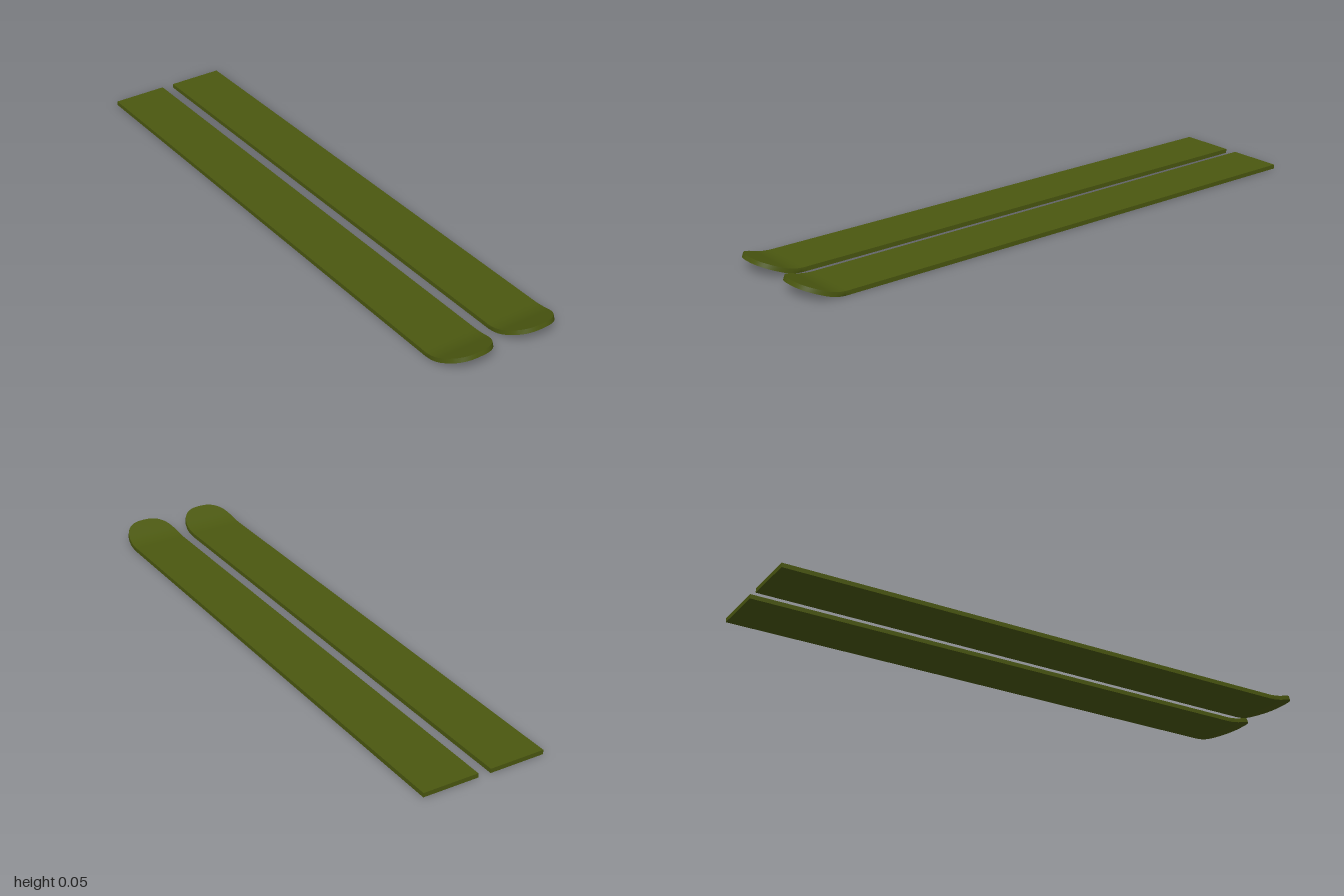
import * as THREE from 'three';
import { toCreasedNormals } from 'three/addons/utils/BufferGeometryUtils.js';

const HALF_W = 0.0975, THICK = 0.015, CENTRE_X = 0.12;
const TIP_START = 0.87, TIP_LEN = 0.13, ROUND = 2.6;
const BEND_START = 0.86, BEND_LEN = 0.07, SLOPE = 0.38;
const X_SEGS = 32, Z_SEGS = 20;

// Height and slope of the underside: flat, then a short curve, then a straight ramp
function underside(z) {
  const d = Math.max(0, z - BEND_START);
  if (d < BEND_LEN) return [SLOPE * d * d / (2 * BEND_LEN), SLOPE * d / BEND_LEN];
  return [SLOPE * (d - BEND_LEN / 2), SLOPE];
}

// Flat board with a square tail and a rounded, upturned tip
function skiGeometry() {
  const geo = new THREE.BoxGeometry(1, 1, 1, X_SEGS, 1, Z_SEGS);
  const p = geo.attributes.position;
  for (let i = 0; i < p.count; i++) {
    // columns bunch up toward the sides, where the tip outline curves most
    const s = Math.sin(p.getX(i) * Math.PI);
    const end = TIP_START + TIP_LEN * Math.pow(Math.max(0, 1 - Math.abs(s) ** ROUND), 1 / ROUND);
    // one long row for the flat part, the rest for the tip
    const row = Math.round((p.getZ(i) + 0.5) * Z_SEGS);
    const z = row === 0 ? -1 : THREE.MathUtils.lerp(0.8, end, (row - 1) / (Z_SEGS - 1));
    const [y, slope] = underside(z);
    const up = (p.getY(i) + 0.5) * THICK / Math.hypot(1, slope);
    p.setXYZ(i, s * HALF_W, y + up, z - slope * up);
  }
  return toCreasedNormals(geo, 0.7);
}

export function createModel() {
  const group = new THREE.Group();
  group.name = 'skis';
  const geometry = skiGeometry();
  const material = new THREE.MeshStandardMaterial({ color: 0x4b5810 });
  for (const side of [-1, 1]) {
    const ski = new THREE.Mesh(geometry, material);
    ski.name = side > 0 ? 'leftSki' : 'rightSki';
    ski.position.x = side * CENTRE_X;
    group.add(ski);
  }
  return group;
}
